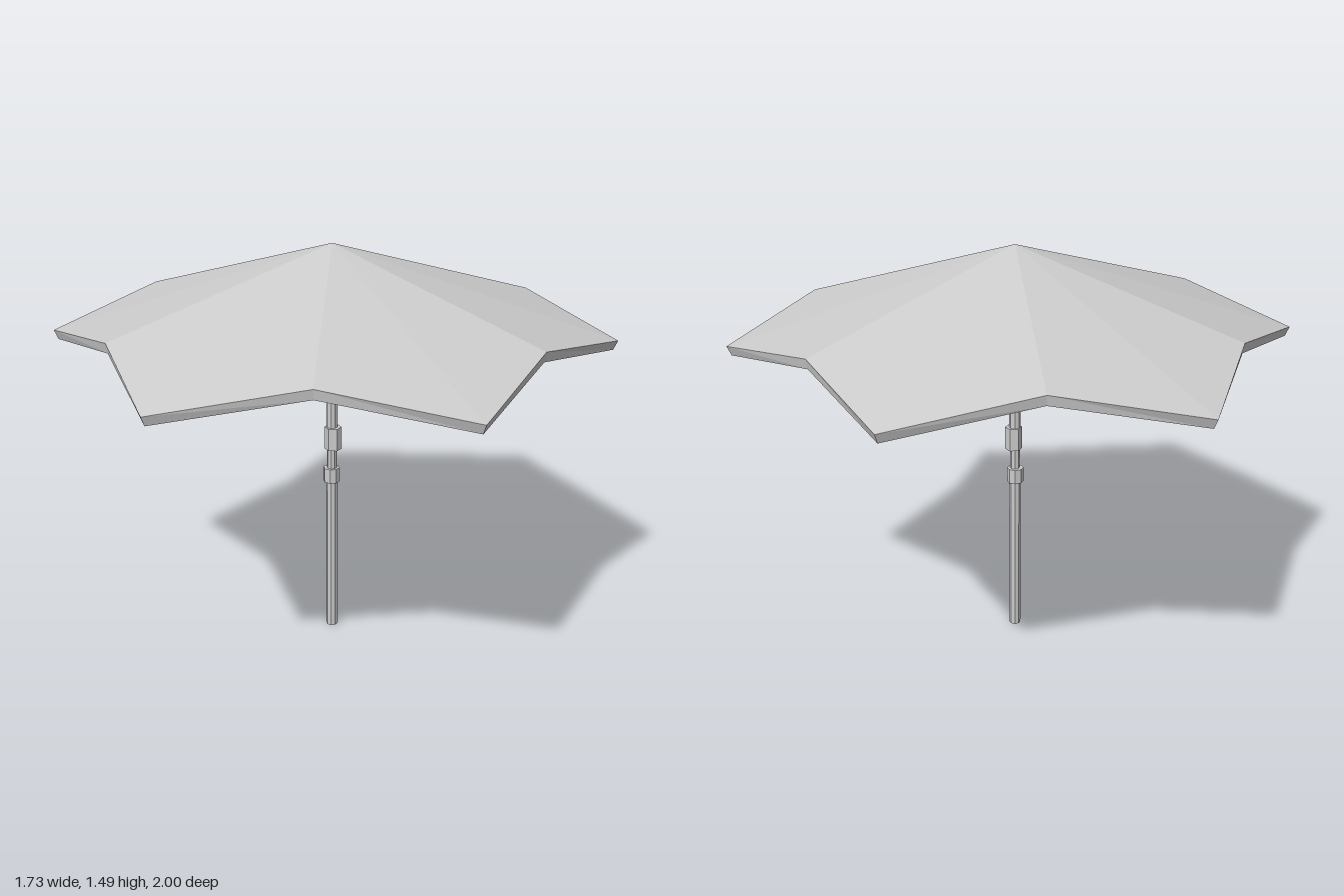
import * as THREE from 'three';

const material = new THREE.MeshStandardMaterial({ color: 0xcccccc, flatShading: true });

// Scalloped ring of 12 rim points: long rib tips alternate with short valleys
function rim(tipR, tipY, valleyR, valleyY) {
  const points = [];
  for (let i = 0; i < 12; i++) {
    const a = (i * Math.PI) / 6;
    const r = i % 2 ? valleyR : tipR;
    points.push([r * Math.sin(a), i % 2 ? valleyY : tipY, r * Math.cos(a)]);
  }
  return points;
}

// Closed thin shell: upper cone, lower cone and the rim band joining them
function canopyGeometry() {
  const top = rim(1, 1.16, 0.818, 1.24);
  const under = rim(0.985, 1.127, 0.812, 1.205);
  const topApex = [0, 1.49, 0];
  const underApex = [0, 1.455, 0];
  const positions = [];
  const tri = (...corners) => corners.forEach((c) => positions.push(...c));
  for (let i = 0; i < 12; i++) {
    const j = (i + 1) % 12;
    tri(topApex, top[i], top[j]);
    tri(underApex, under[j], under[i]);
    tri(top[i], under[i], under[j]);
    tri(top[i], under[j], top[j]);
  }
  const geometry = new THREE.BufferGeometry();
  geometry.setAttribute('position', new THREE.Float32BufferAttribute(positions, 3));
  geometry.computeVertexNormals();
  return geometry;
}

export function createModel() {
  const group = new THREE.Group();
  const add = (name, geometry) => {
    const mesh = new THREE.Mesh(geometry, material);
    mesh.name = name;
    group.add(mesh);
    return mesh;
  };
  // Upright prism between two heights
  const prism = (name, radius, y0, y1, sides, turn = 0, x = 0) => {
    const mesh = add(name, new THREE.CylinderGeometry(radius, radius, y1 - y0, sides));
    mesh.position.set(x, (y0 + y1) / 2, 0);
    mesh.rotation.y = turn;
  };

  add('canopy', canopyGeometry());

  // Pole in two tubes with a slimmer joint between the collars
  prism('lowerPole', 0.021, 0, 0.63, 8, Math.PI / 8);
  prism('poleJoint', 0.018, 0.63, 0.77, 8, Math.PI / 8);
  prism('upperPole', 0.021, 0.77, 1.465, 8, Math.PI / 8);

  // Collars
  prism('lowerCollar', 0.03, 0.6, 0.655, 8, Math.PI / 8, -0.002);
  prism('upperCollar', 0.031, 0.73, 0.815, 6, 0, 0.005);

  return group;
}
